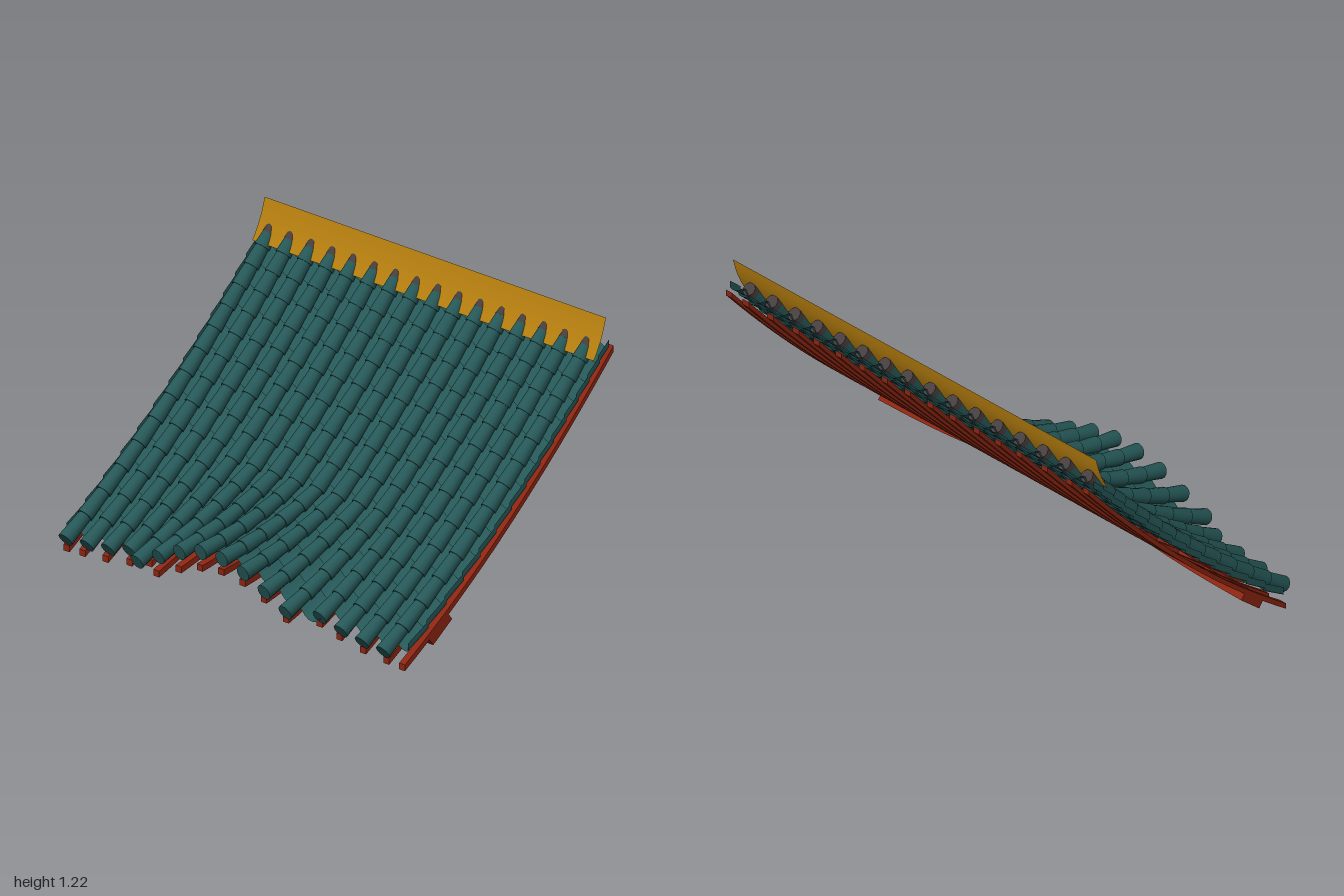
import * as THREE from 'three';

const mat = (name, color, side = THREE.FrontSide) => {
  const m = new THREE.MeshStandardMaterial({ color, side });
  m.name = name;
  return m;
};

// Roof curve: steepens toward the ridge, with the eave raised mid-span
const lift = (x, z) =>
  0.24 * Math.pow(Math.max(0, (-0.08 - x) / 0.52), 1.15) * Math.exp(-Math.pow(z / 0.48, 2));
const roofY = (x, z) => 0.42 + 0.95 * x + 0.2 * x * x + lift(x, z);
const isMiddle = z => Math.abs(z) < 0.5;

// Tile courses get shorter toward the ridge
const ROWS = 14;
const station = (start, end, k) => {
  const t = k / ROWS;
  return start + (end - start) * (1.33 * t - 0.33 * t * t);
};

// Flat-faced solid through four-cornered sections
function solid(sections) {
  const p = [];
  const quad = (a, b, c, d) => p.push(...a, ...b, ...c, ...a, ...c, ...d);
  for (let i = 0; i < sections.length - 1; i++) {
    const s = sections[i], e = sections[i + 1];
    for (let j = 0; j < 4; j++) quad(s[j], s[(j + 1) % 4], e[(j + 1) % 4], e[j]);
  }
  quad(...[...sections[0]].reverse());
  quad(...sections[sections.length - 1]);
  const g = new THREE.BufferGeometry();
  g.setAttribute('position', new THREE.Float32BufferAttribute(p, 3));
  g.computeVertexNormals();
  return g;
}

// Smooth open sheet: fn(u, v) gives a point
function sheet(nu, nv, fn) {
  const p = [], idx = [];
  for (let i = 0; i <= nu; i++)
    for (let j = 0; j <= nv; j++) p.push(...fn(i / nu, j / nv));
  for (let i = 0; i < nu; i++)
    for (let j = 0; j < nv; j++) {
      const a = i * (nv + 1) + j, b = a + nv + 1;
      idx.push(a, a + 1, b + 1, a, b + 1, b);
    }
  const g = new THREE.BufferGeometry();
  g.setAttribute('position', new THREE.Float32BufferAttribute(p, 3));
  g.setIndex(idx);
  g.computeVertexNormals();
  return g;
}

export function createModel() {
  const root = new THREE.Group();
  root.name = 'curvedTileRoof';
  const tile = mat('tileTeal', 0x265757);
  const pan = mat('panTeal', 0x265757, THREE.DoubleSide);
  const wood = mat('redWood', 0x8b2511);
  const gold = mat('ridgeGold', 0xb8800f, THREE.DoubleSide);
  const dark = mat('tileEndGrey', 0x463e3e);

  const group = name => {
    const g = new THREE.Group();
    g.name = name;
    root.add(g);
    return g;
  };
  const add = (parent, name, geo, m) => {
    const mesh = new THREE.Mesh(geo, m);
    mesh.name = name;
    parent.add(mesh);
    return mesh;
  };

  // Rafters under the tiles
  const rafters = group('rafters');
  const half = [0.125, 0.25, 0.38, 0.5, 0.615, 0.755, 0.89, 0.983];
  for (const z of [0, ...half, ...half.map(v => -v)]) {
    const start = Math.abs(z) < 0.45 ? -0.56 : -0.49, sections = [];
    for (let i = 0; i <= 24; i++) {
      const x = start + (0.615 - start) * i / 24, y = roofY(x, z), w = 0.017;
      sections.push([[x, y, z + w], [x, y, z - w], [x, y + 0.026, z - w], [x, y + 0.026, z + w]]);
    }
    add(rafters, 'rafter', solid(sections), wood);
  }

  // Eave beam, arched with the roof
  const profile = [[-0.34, 0.078], [-0.24, 0.165], [-0.268, 0.2], [-0.368, 0.115]];
  const beam = [];
  for (let i = 0; i <= 40; i++) {
    const z = -1 + i / 20;
    beam.push(profile.map(([x, y]) => [x, y + lift(x - 0.04, z), z]));
  }
  add(root, 'eaveBeam', solid(beam), wood);

  // Concave pan tiles, each course overlapping the one below
  const pans = group('panTiles');
  for (let i = 0; i <= 16; i++) {
    const zc = -1.002 + 0.1245 * i;
    const start = isMiddle(zc) ? -0.54 : -0.475;
    for (let k = 0; k < ROWS; k++) {
      const x0 = station(start, 0.585, k), x1 = station(start, 0.585, k + 1) + 0.012;
      const geo = sheet(2, 6, (u, v) => {
        const x = x0 + (Math.min(x1, 0.59) - x0) * u, s = v * 2 - 1;
        const z = THREE.MathUtils.clamp(zc + s * 0.064, -1, 1);
        return [x, roofY(x, z) + 0.05 + 0.035 * s * s + 0.014 * (1 - u), z];
      });
      add(pans, 'panTile', geo, pan);
    }
  }

  // Round cover tiles over the joints
  const covers = group('coverTiles');
  const up = new THREE.Vector3(0, 1, 0);
  const rod = (z, xa, xb, rTop, rBottom, m, name) => {
    const a = new THREE.Vector3(xa, roofY(xa, z) + 0.1, z);
    const b = new THREE.Vector3(xb, roofY(xb, z) + 0.1, z);
    const dir = b.clone().sub(a);
    const mesh = add(covers, name, new THREE.CylinderGeometry(rTop, rBottom, dir.length(), 12), m);
    mesh.position.copy(a).add(b).multiplyScalar(0.5);
    mesh.quaternion.setFromUnitVectors(up, dir.normalize());
  };
  for (let i = 0; i < 16; i++) {
    const z = -0.94 + 0.124 * i, start = isMiddle(z) ? -0.605 : -0.535;
    for (let k = 0; k < ROWS; k++) {
      const x0 = station(start, 0.56, k), x1 = station(start, 0.56, k + 1);
      rod(z, x0, Math.min(x1 + 0.012, 0.56), 0.028, 0.034, tile, 'coverTile');
    }
    rod(z, 0.545, 0.566, 0.028, 0.03, dark, 'coverTileEnd');
  }

  // Slightly curved ridge board
  add(root, 'ridgeBoard', sheet(8, 1, (u, v) => [
    0.51 + 0.065 * u + 0.006 * Math.sin(Math.PI * u),
    1.065 + 0.165 * u - 0.003 * Math.sin(Math.PI * u),
    -1 + 2 * v,
  ]), gold);

  return root;
}
